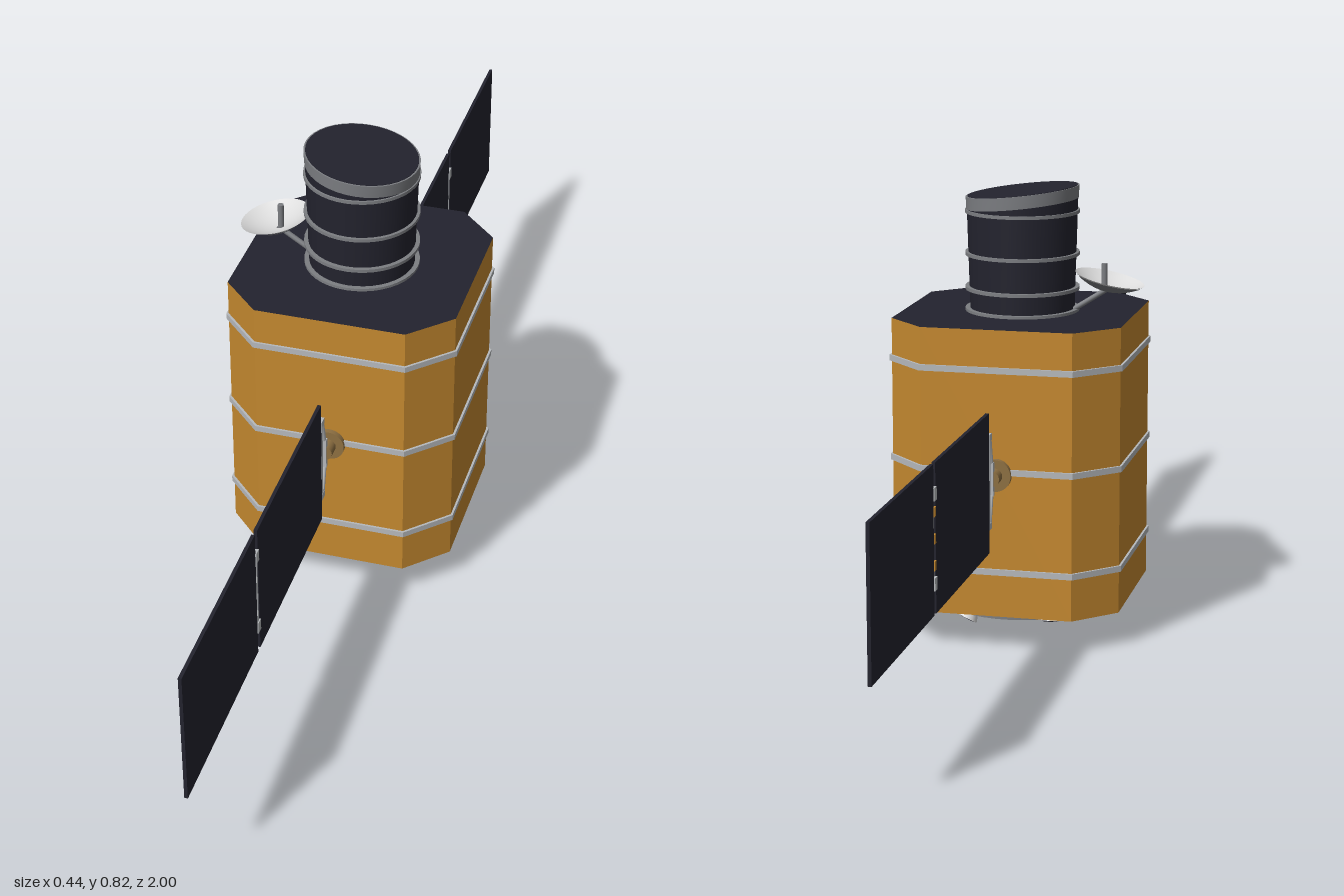
import * as THREE from 'three';
import { toCreasedNormals } from 'three/addons/utils/BufferGeometryUtils.js';

const mat = (name, color, side = THREE.FrontSide) => {
  const m = new THREE.MeshStandardMaterial({ color, side });
  m.name = name;
  return m;
};

export function createModel() {
  const gold = mat('gold foil', 0xc4882f);
  const dark = mat('dark navy', 0x23232e);
  const silver = mat('silver', 0xb6b9bc);
  const grey = mat('grey metal', 0x7c7e82);
  const white = mat('white', 0xdcdcdc, THREE.DoubleSide);
  const bronze = mat('bronze', 0x8e7042);

  const model = new THREE.Group();
  model.name = 'satellite';
  const craft = new THREE.Group();
  craft.name = 'spacecraft';
  craft.position.x = 0.004;
  model.add(craft);

  const add = (name, geo, material, x = 0, y = 0, z = 0, parent = craft) => {
    const mesh = new THREE.Mesh(geo, material);
    mesh.name = name;
    mesh.position.set(x, y, z);
    parent.add(mesh);
    return mesh;
  };
  const box = (w, h, d) => new THREE.BoxGeometry(w, h, d);
  const cyl = (top, bottom, h, n = 40) => new THREE.CylinderGeometry(top, bottom, h, n);
  // Straight rod between two points
  const rod = (name, a, b, r, material, parent = craft) => {
    const p = new THREE.Vector3(...a), q = new THREE.Vector3(...b);
    const dir = q.clone().sub(p);
    const mesh = add(name, cyl(r, r, dir.length(), 10), material, 0, 0, 0, parent);
    mesh.position.copy(p).add(q).multiplyScalar(0.5);
    mesh.quaternion.setFromUnitVectors(new THREE.Vector3(0, 1, 0), dir.normalize());
    return mesh;
  };

  // Octagonal prism standing on y = 0
  const prism = (r, flat, height) => {
    const pts = [[r, -flat], [r, flat], [flat, r], [-flat, r], [-r, flat], [-r, -flat], [-flat, -r], [flat, -r]];
    const shape = new THREE.Shape(pts.map(p => new THREE.Vector2(...p)));
    const geo = new THREE.ExtrudeGeometry(shape, { depth: height, bevelEnabled: false });
    return geo.rotateX(-Math.PI / 2);
  };

  // Bus with dark end plates and three bands
  add('body', prism(0.209, 0.137, 0.522), [dark, gold], 0, 0.063);
  for (const y of [0.146, 0.33, 0.513]) add('bodyBand', prism(0.213, 0.139, 0.011), silver, 0, y - 0.0055);

  // Telescope barrel with a slanted mouth
  const slant = geo => {
    const p = geo.attributes.position;
    for (let i = 0; i < p.count; i++) if (p.getY(i) > 0) p.setY(i, p.getY(i) - 0.11 * p.getX(i));
    geo.computeVertexNormals();
    return toCreasedNormals(geo, 0.7);
  };
  add('telescopeBarrel', slant(cyl(0.101, 0.095, 0.205)), dark, 0, 0.683);
  const rim = cyl(0.103, 0.102, 0.023).translate(0, 0.1, 0);
  add('telescopeRim', slant(rim), grey, 0, 0.692);
  const lid = cyl(0.1, 0.1, 0.002).translate(0, 0.1, 0);
  add('telescopeLid', slant(lid), dark, 0, 0.7035);
  for (const y of [0.587, 0.627, 0.69, 0.767]) add('telescopeRing', cyl(0.104, 0.104, 0.006), grey, 0, y);

  // Dish antenna on a strut
  const dish = new THREE.Group();
  dish.name = 'dishAntenna';
  dish.position.set(-0.157, 0.626, 0);
  dish.rotation.z = 0.22;
  craft.add(dish);
  const bowl = [], back = [];
  for (let i = 0; i <= 8; i++) {
    const r = 0.064 * i / 8;
    bowl.push(new THREE.Vector2(r, 0.022 * (i / 8) ** 2 + 0.001));
    back.push(new THREE.Vector2(r, 0.022 * (i / 8) ** 2 - 0.001));
  }
  add('dishInside', new THREE.LatheGeometry(bowl, 36), white, 0, 0, 0, dish);
  add('dishBack', new THREE.LatheGeometry(back, 36), grey, 0, 0, 0, dish);
  rod('dishFeed', [-0.152, 0.627, 0], [-0.152, 0.675, 0], 0.0055, grey);
  rod('dishStrut', [-0.158, 0.629, 0], [-0.094, 0.588, 0], 0.005, grey);

  // Base plate, nozzles and pin
  add('basePlate', cyl(0.15, 0.15, 0.024, 48), grey, 0, 0.051);
  add('basePlateFace', cyl(0.144, 0.144, 0.002, 48), dark, 0, 0.0385);
  for (const sx of [-1, 1]) for (const sz of [-1, 1]) {
    const nozzle = new THREE.Group();
    nozzle.name = 'nozzle';
    nozzle.position.set(sx > 0 ? 0.075 : -0.07, 0.042, sz * 0.073);
    nozzle.rotation.set(-sz * 0.35, 0, sx > 0 ? 0.42 : 0);
    const k = sx > 0 ? 1 : 0.8;
    nozzle.scale.set(k, k, k);
    craft.add(nozzle);
    add('nozzleNeck', cyl(0.012, 0.014, 0.02, 20), silver, 0, -0.006, 0, nozzle);
    add('nozzleBell', cyl(0.015, 0.021, 0.018, 24), white, 0, -0.021, 0, nozzle);
    add('nozzleMouth', cyl(0.0185, 0.0185, 0.001, 24), dark, 0, -0.0302, 0, nozzle);
  }
  add('basePin', cyl(0.012, 0.012, 0.04, 20), white, -0.072, 0.02);

  // Solar wings, mirrored front and back
  for (const s of [1, -1]) {
    const wing = new THREE.Group();
    wing.name = s > 0 ? 'frontWing' : 'backWing';
    craft.add(wing);
    const drive = add('wingDrive', cyl(0.029, 0.029, 0.012, 32), bronze, 0, 0.325, s * 0.213, wing);
    drive.rotation.x = Math.PI / 2;
    const shaft = add('wingShaft', cyl(0.014, 0.014, 0.026, 20), bronze, 0, 0.325, s * 0.23, wing);
    shaft.rotation.x = Math.PI / 2;
    add('yokeRoot', box(0.008, 0.06, 0.008), silver, 0, 0.325, s * 0.241, wing);
    add('yokeBar', box(0.006, 0.17, 0.007), silver, 0, 0.325, s * 0.265, wing);
    for (const t of [1, -1]) {
      rod('yokeArm', [0, 0.325 + t * 0.026, s * 0.241], [0, 0.325 + t * 0.08, s * 0.256], 0.0035, silver, wing);
      add('yokeEnd', box(0.007, 0.012, 0.018), silver, 0, 0.325 + t * 0.08, s * 0.261, wing);
    }
    // Two panels and the hinge line between them
    add('innerPanel', box(0.006, 0.252, 0.36), dark, 0, 0.324, s * 0.45, wing);
    add('outerPanel', box(0.006, 0.252, 0.358), dark, 0, 0.324, s * 0.821, wing);
    add('hingeBar', box(0.004, 0.166, 0.005), silver, 0.001, 0.325, s * 0.636, wing);
    for (const t of [1, -1]) add('hingeKnuckle', box(0.01, 0.022, 0.014), silver, 0, 0.325 + t * 0.075, s * 0.636, wing);
    for (const y of [0.28, 0.325, 0.37]) add('hingePatch', box(0.003, 0.016, 0.01), gold, -0.0025, y, s * 0.636, wing);
  }
  return model;
}
